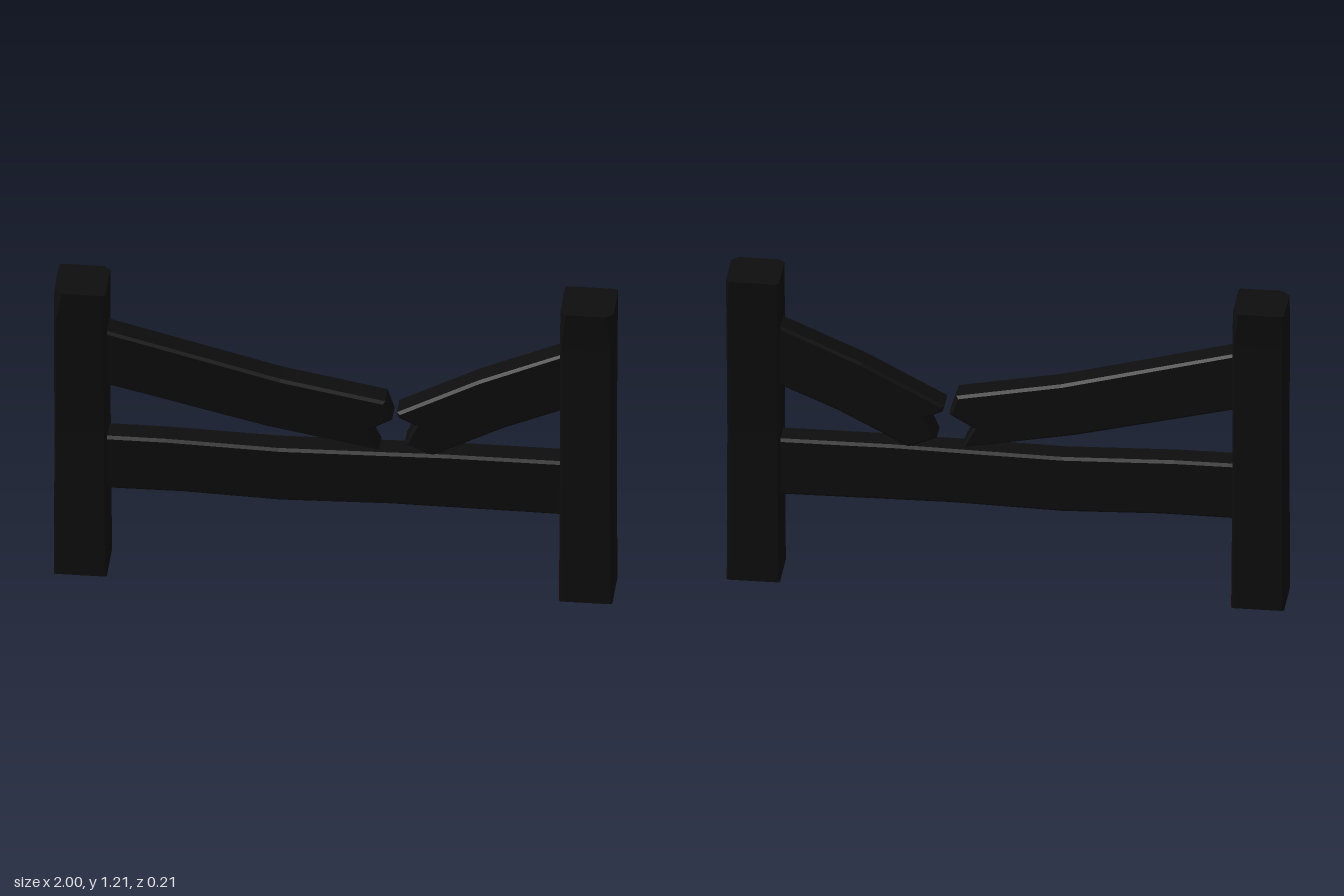
import * as THREE from 'three';

// Corner signs, counter-clockwise seen from above
const CORNERS = [[1, 1], [1, -1], [-1, -1], [-1, 1]];

// Square post lofted from rings [y, x0, x1, z0, z1, cuts for the four corners]
function postGeometry(rings) {
  const loops = rings.map(([y, x0, x1, z0, z1, cuts]) => {
    const loop = [];
    CORNERS.forEach(([sx, sz], k) => {
      const x = sx > 0 ? x1 : x0, z = sz > 0 ? z1 : z0, c = cuts[k];
      const alongX = [x - sx * c, y, z], alongZ = [x, y, z - sz * c];
      if (sx * sz > 0) loop.push(alongX, alongZ);
      else loop.push(alongZ, alongX);
    });
    return loop;
  });
  const pos = [];
  const tri = (a, b, c) => pos.push(...a, ...b, ...c);
  const n = 8;
  for (let i = 0; i < loops.length - 1; i++) {
    for (let j = 0; j < n; j++) {
      const k = (j + 1) % n, lo = loops[i], hi = loops[i + 1];
      tri(lo[j], lo[k], hi[k]);
      tri(lo[j], hi[k], hi[j]);
    }
  }
  const bottom = loops[0], top = loops[loops.length - 1];
  for (let j = 1; j < n - 1; j++) {
    tri(top[0], top[j], top[j + 1]);
    tri(bottom[0], bottom[j + 1], bottom[j]);
  }
  const g = new THREE.BufferGeometry();
  g.setAttribute('position', new THREE.Float32BufferAttribute(pos, 3));
  g.computeVertexNormals();
  return g;
}

// Plank cut from a side outline, with slightly worn edges
function railGeometry(points, z0 = -0.053, z1 = 0.049) {
  const bevel = 0.01;
  const shape = new THREE.Shape(points.map(([x, y]) => new THREE.Vector2(x, y)));
  const g = new THREE.ExtrudeGeometry(shape, {
    depth: z1 - z0 - 2 * bevel, bevelEnabled: true, bevelThickness: bevel,
    bevelSize: bevel, bevelOffset: -bevel, bevelSegments: 1,
  });
  g.translate(0, 0, z0 + bevel);
  return g;
}

export function createModel() {
  const group = new THREE.Group();
  const wood = new THREE.MeshStandardMaterial({ color: 0x0d0d0d });
  wood.name = 'charredWood';
  const add = (name, geometry) => {
    const mesh = new THREE.Mesh(geometry, wood);
    mesh.name = name;
    group.add(mesh);
  };

  // Posts, gently waisted with chipped top corners
  const edge = [0.006, 0.006, 0.006, 0.006];
  add('rightPost', postGeometry([
    [0, -1, -0.81, -0.09, 0.1, edge],
    [0.6, -0.998, -0.815, -0.09, 0.093, edge],
    [1.06, -1, -0.815, -0.092, 0.1, edge],
    [1.185, -1, -0.815, -0.095, 0.104, [0.008, 0.022, 0.008, 0.03]],
  ]));
  add('leftPost', postGeometry([
    [0, 0.807, 0.998, -0.09, 0.095, edge],
    [0.6, 0.81, 0.996, -0.089, 0.09, edge],
    [1.06, 0.81, 0.998, -0.099, 0.088, edge],
    [1.205, 0.81, 1, -0.103, 0.09, [0.025, 0.01, 0.008, 0.02]],
  ]));

  // Whole lower rail
  add('lowerRail', railGeometry([
    [-0.86, 0.338], [-0.55, 0.34], [-0.2, 0.328], [0.2, 0.338], [0.86, 0.333],
    [0.86, 0.556], [0.4, 0.557], [0.17, 0.552], [-0.2, 0.545], [-0.6, 0.557], [-0.86, 0.557],
  ]));

  // Snapped upper rail, two sagging halves
  add('upperRailRightHalf', railGeometry([
    [-0.86, 0.786], [-0.243, 0.636], [0.158, 0.562], [0.12, 0.642],
    [0.205, 0.692], [0.18, 0.767], [-0.195, 0.837], [-0.86, 1.01],
  ]));
  add('upperRailLeftHalf', railGeometry([
    [0.86, 0.793], [0.86, 1.027], [0.515, 0.878], [0.222, 0.724],
    [0.23, 0.7], [0.286, 0.674], [0.25, 0.594], [0.35, 0.552], [0.607, 0.685],
  ]));

  return group;
}
